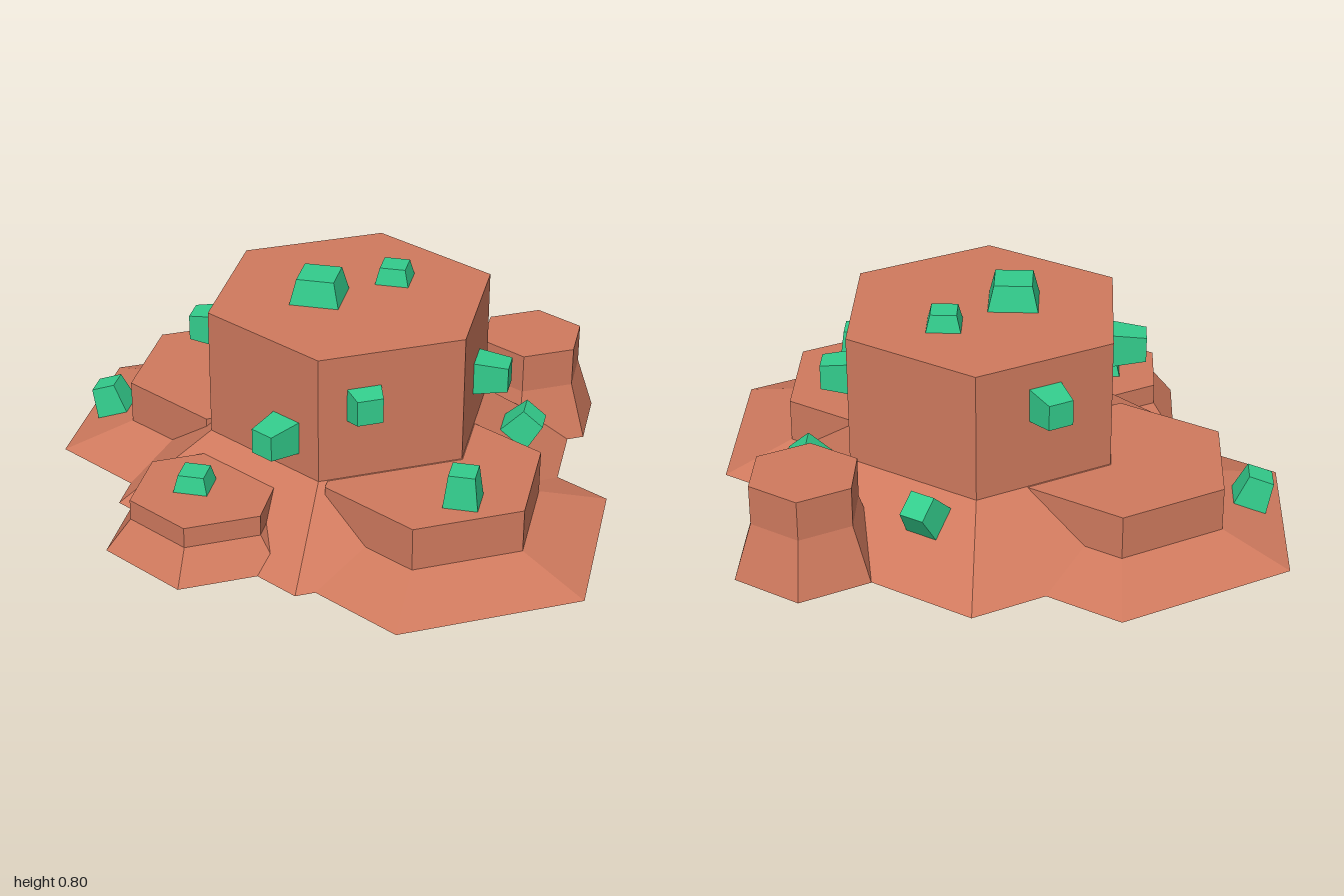
import * as THREE from 'three';

const rock = new THREE.MeshStandardMaterial({ color: 0xd07a5e, flatShading: true });
const leaf = new THREE.MeshStandardMaterial({ color: 0x33cc8c, flatShading: true });

function flat(geometry) {
  const g = geometry.toNonIndexed();
  g.computeVertexNormals();
  return g;
}

// Six-sided mesa: sloping skirt, upright wall, flat top
function mesa(name, x, z, baseR, topR, skirtY, topY) {
  const profile = [[0, 0], [baseR, 0], [topR, skirtY], [topR, topY], [0, topY]];
  const points = profile.map(([r, y]) => new THREE.Vector2(r, y));
  const mesh = new THREE.Mesh(flat(new THREE.LatheGeometry(points, 6)), rock);
  mesh.name = name;
  mesh.position.set(x, 0, z);
  return mesh;
}

// Tapered square bush growing from pos; it leans by tilt towards the heading
// (heading is measured from +z towards +x)
function bush(name, pos, height, heading = 0, tilt = 0, base = 0.12) {
  const k = Math.SQRT1_2;
  const g = new THREE.CylinderGeometry(base * 0.76 * k, base * k, height, 4);
  g.rotateY(Math.PI / 4);
  g.translate(0, height / 2, 0);
  const mesh = new THREE.Mesh(flat(g), leaf);
  mesh.name = name;
  mesh.rotation.set(tilt, heading, 0, 'YXZ');
  mesh.position.set(...pos);
  return mesh;
}

export function createModel() {
  const model = new THREE.Group();
  model.name = 'desertMesas';

  // Rock formations
  model.add(
    mesa('mainMesa', 0.06, -0.07, 0.865, 0.52, 0.24, 0.705),
    mesa('backRightMesa', -0.43, -0.283, 0.658, 0.398, 0.08, 0.238),
    mesa('frontLeftMesa', 0.43, 0.28, 0.658, 0.394, 0.08, 0.238),
    mesa('smallFrontMesa', -0.33, 0.49, 0.355, 0.265, 0.11, 0.185),
    mesa('tallBackPillar', 0.635, -0.605, 0.265, 0.197, 0.2, 0.345)
  );

  const deg = Math.PI / 180;
  const wall = 90 * deg;
  const skirt = Math.atan2(0.24, 0.3);

  // Bushes on the flat tops
  model.add(
    bush('largeTopBush', [-0.045, 0.705, -0.02], 0.09, 0, 0, 0.175),
    bush('smallTopBush', [0.185, 0.705, -0.215], 0.06),
    bush('smallMesaBush', [-0.37, 0.185, 0.48], 0.06),
    bush('frontMesaBush', [0.56, 0.238, 0.46], 0.118)
  );

  // Bushes growing out of the upright walls
  model.add(
    bush('rightWallBush', [-0.39, 0.55, -0.025], 0.12, -90 * deg, wall),
    bush('leftWallBush', [0.51, 0.445, -0.075], 0.12, 90 * deg, wall),
    bush('frontRightWallBush', [-0.07, 0.375, 0.375], 0.12, -30 * deg, wall),
    bush('frontLeftWallBush', [0.2, 0.52, 0.369], 0.07, 30 * deg, wall),
    bush('backRightWallBush', [-0.165, 0.55, -0.46], 0.11, -150 * deg, wall)
  );

  // Bushes on the sloping skirts
  model.add(
    bush('rightSkirtBush', [-0.882, 0.044, -0.225], 0.112, -90 * deg, Math.atan2(0.08, 0.225)),
    bush('leftSkirtBush', [0.64, 0.136, -0.215], 0.11, 90 * deg, skirt),
    bush('backSkirtBush', [0.22, 0.168, -0.6], 0.11, 150 * deg, skirt)
  );

  return model;
}
